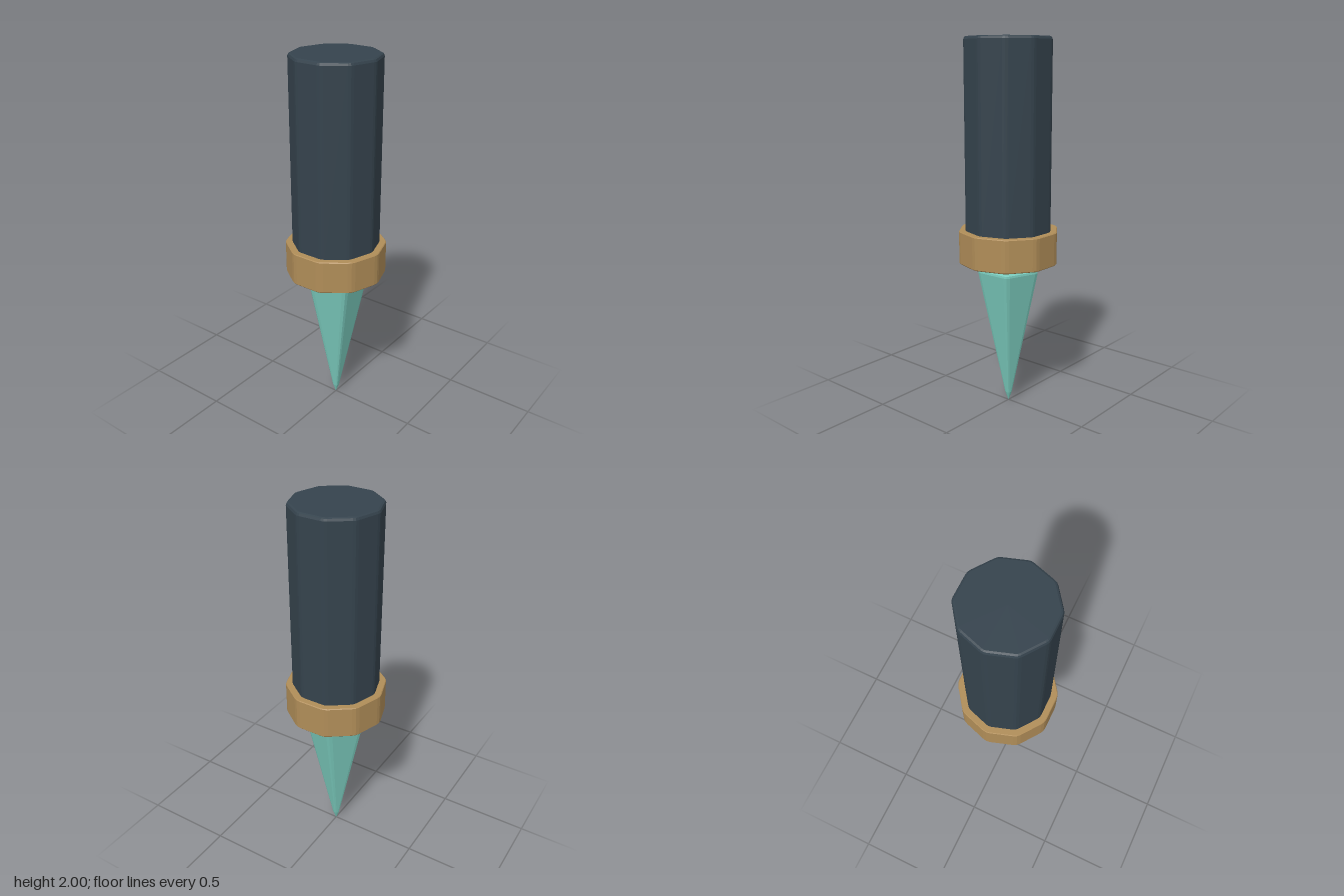
import * as THREE from 'three';

// Regular polygon at height y with slightly rounded corners of length c
function ring(n, start, [y, r, c]) {
  const points = [];
  const s = Math.sin(Math.PI / n), k = Math.cos(Math.PI / n);
  for (let i = 0; i < n; i++) {
    const a = start + (i / n) * Math.PI * 2;
    for (const side of [-1, 0, 1]) {
      const rad = r - c * s * (side === 0 ? 0.5 : 1);
      const tan = side * c * k;
      points.push(new THREE.Vector3(
        rad * Math.sin(a) + tan * Math.cos(a), y,
        rad * Math.cos(a) - tan * Math.sin(a)));
    }
  }
  return points;
}

// Flat-faced solid through the rings (listed bottom to top), closed at both ends
function prism(n, start, levels) {
  const rings = levels.map((level) => ring(n, start, level));
  const count = n * 3, pos = [];
  const tri = (...pts) => pts.forEach((p) => pos.push(p.x, p.y, p.z));
  const bottom = new THREE.Vector3(0, levels[0][0], 0);
  const top = new THREE.Vector3(0, levels[levels.length - 1][0], 0);
  for (let i = 0; i < count; i++) {
    const j = (i + 1) % count;
    for (let l = 0; l < rings.length - 1; l++) {
      const lo = rings[l], hi = rings[l + 1];
      tri(lo[i], lo[j], hi[j]);
      tri(lo[i], hi[j], hi[i]);
    }
    tri(bottom, rings[0][j], rings[0][i]);
    tri(top, rings[rings.length - 1][i], rings[rings.length - 1][j]);
  }
  const geometry = new THREE.BufferGeometry();
  geometry.setAttribute('position', new THREE.Float32BufferAttribute(pos, 3));
  geometry.computeVertexNormals();
  return geometry;
}

function material(name, color) {
  const m = new THREE.MeshStandardMaterial({ color });
  m.name = name;
  return m;
}

export function createModel() {
  const group = new THREE.Group();
  group.name = 'crystalSpike';
  const add = (name, geometry, mat) => {
    const mesh = new THREE.Mesh(geometry, mat);
    mesh.name = name;
    group.add(mesh);
  };

  // Ten-sided handle with a bevelled top rim
  add('handle', prism(10, 0, [
    [0.98, 0.236, 0.016], [1.985, 0.236, 0.016], [1.996, 0.231, 0.014], [2, 0.222, 0.01],
  ]), material('slate', 0x35434d));

  // Wider ten-sided collar
  add('collar', prism(10, 0, [
    [0.822, 0.268, 0.02], [0.827, 0.273, 0.022], [0.996, 0.273, 0.022], [1, 0.269, 0.02],
  ]), material('bronze', 0xb08d58));

  // Five-sided crystal, flat face forward, floating below the collar
  add('crystal', prism(5, Math.PI / 5, [
    [0.005, 0.0005, 0.0001], [0.055, 0.021, 0.008], [0.768, 0.175, 0.022],
    [0.779, 0.173, 0.02], [0.784, 0.162, 0.016],
  ]), material('turquoise', 0x7acabc));

  return group;
}
